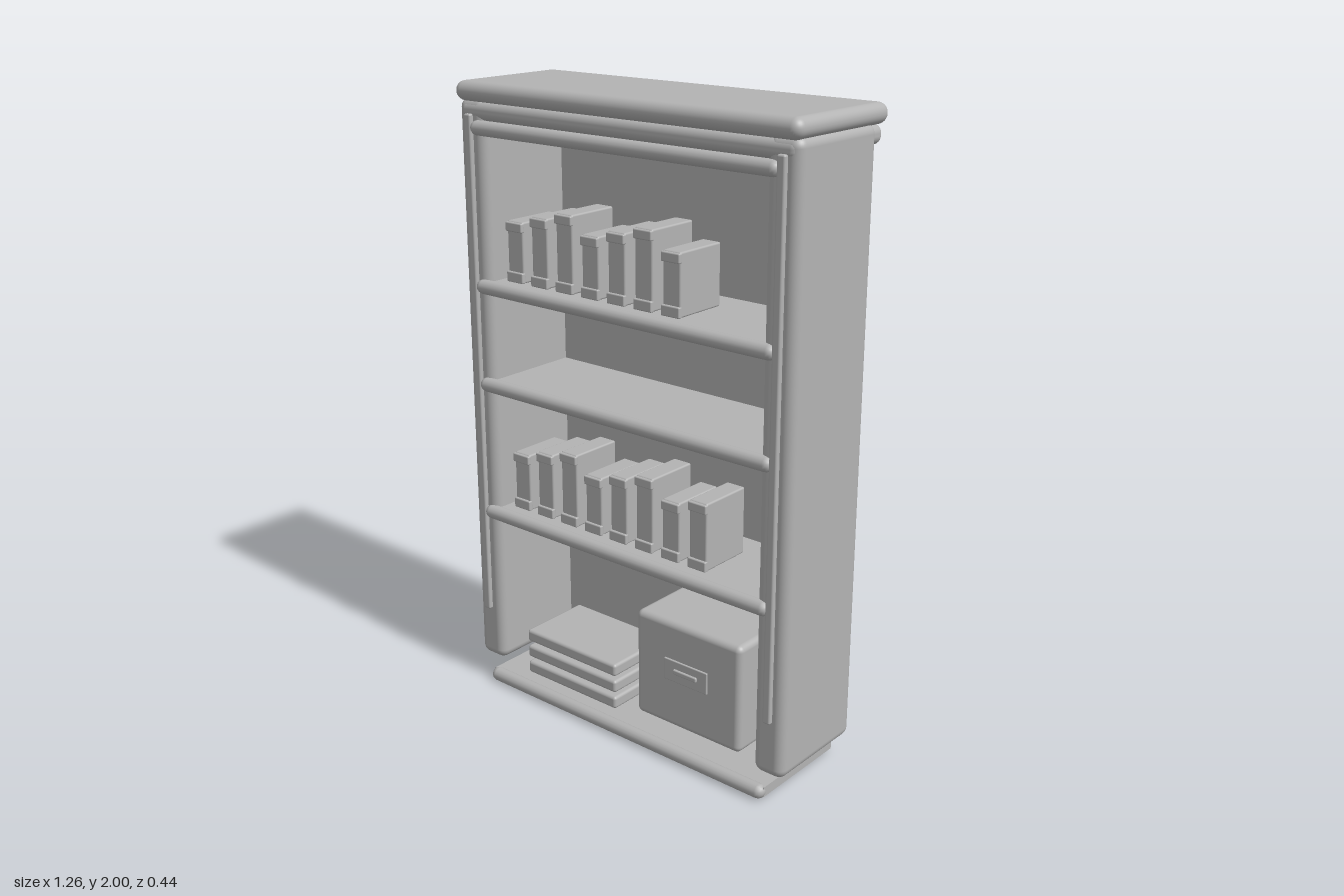
import * as THREE from 'three';
import { RoundedBoxGeometry } from 'three/addons/geometries/RoundedBoxGeometry.js';

export function createModel() {
  const model = new THREE.Group();
  model.name = 'bookcase';
  const grey = new THREE.MeshStandardMaterial({ color: 0xb3b3b3 });
  grey.name = 'plain grey';

  // Box given by its min and max on each axis, with optional rounded edges
  function box(name, [x0, x1], [y0, y1], [z0, z1], r = 0, parent = model) {
    const size = [x1 - x0, y1 - y0, z1 - z0];
    const geo = r ? new RoundedBoxGeometry(...size, 4, r) : new THREE.BoxGeometry(...size);
    const mesh = new THREE.Mesh(geo, grey);
    mesh.name = name;
    mesh.position.set((x0 + x1) / 2, (y0 + y1) / 2, (z0 + z1) / 2);
    parent.add(mesh);
    return mesh;
  }

  // Crown: top slab and the moulding beneath it
  box('topSlab', [-0.632, 0.632], [1.94, 2], [-0.217, 0.213], 0.0295);
  box('crownMoulding', [-0.62, 0.62], [1.885, 1.942], [-0.205, 0.2], 0.025);

  // Side panels with a thin trim strip on each front edge
  for (const s of [-1, 1]) {
    const span = (a, b) => (s < 0 ? [-b, -a] : [a, b]);
    box('sidePanel', span(0.52, 0.628), [0.088, 1.95], [-0.163, 0.198], 0.03);
    box('trimStrip', span(0.563, 0.59), [0.27, 1.905], [0.19, 0.212], 0.006);
  }
  box('backPanel', [-0.53, 0.53], [0.135, 1.9], [-0.15, -0.135]);

  // Shelves and plinth board, each with a round front nosing
  for (const y of [0.028, 0.625, 1.06, 1.378, 1.865]) {
    const name = y < 0.1 ? 'baseBoard' : 'shelf';
    box(name, [-0.565, 0.565], [y - 0.015, y + 0.017], [-0.157, 0.195]);
    const nose = new THREE.Mesh(new THREE.CapsuleGeometry(0.023, 1.096, 4, 16), grey);
    nose.name = name + 'Nosing';
    nose.rotation.z = Math.PI / 2;
    nose.scale.y = 1.136 / 1.142;
    nose.position.set(0, y, 0.196);
    model.add(nose);
  }

  // Rows of books with raised bands on the spines
  const heights = [0.19, 0.215, 0.24];
  function bookRow(count, y) {
    const row = new THREE.Group();
    row.name = 'bookRow';
    for (let i = 0; i < count; i++) {
      const x = -0.457 + i * 0.1033, top = y + heights[i % 3];
      box('book', [x - 0.033, x + 0.033], [y, top], [-0.04, 0.142], 0.006, row);
      box('spineBand', [x - 0.034, x + 0.034], [top - 0.032, top - 0.003], [0.135, 0.15], 0.004, row);
      box('spineBand', [x - 0.034, x + 0.034], [y, y + 0.033], [0.135, 0.15], 0.004, row);
    }
    model.add(row);
  }
  bookRow(7, 1.395);
  bookRow(8, 0.642);

  // Stack of flat slabs on the lowest level
  for (let i = 0; i < 3; i++) {
    const y = 0.055 + i * 0.058;
    box('stackedSlab', [-0.445, -0.055], [y, y + 0.042], [-0.097, 0.156], 0.01);
  }

  // Storage box with a label frame and pull
  box('storageBox', [0.032, 0.438], [0.083, 0.44], [-0.14, 0.152], 0.02);
  box('labelPlate', [0.15, 0.317], [0.245, 0.317], [0.15, 0.158], 0.003);
  box('pull', [0.19, 0.28], [0.275, 0.291], [0.155, 0.165], 0.004);

  return model;
}
